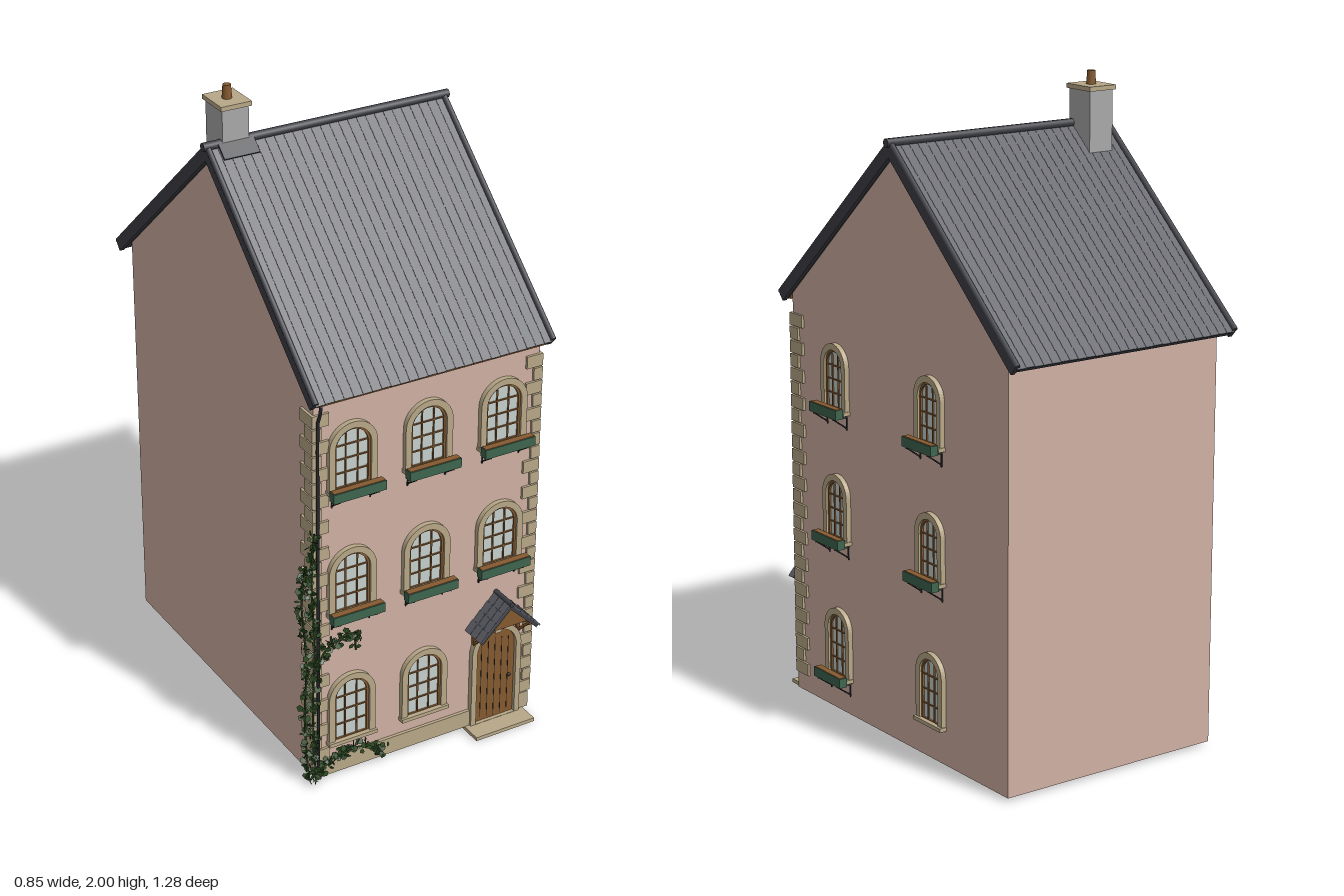
import * as THREE from 'three';
import { mergeGeometries } from 'three/addons/utils/BufferGeometryUtils.js';

const mat = (name, color, side = THREE.FrontSide) => {
  const m = new THREE.MeshStandardMaterial({ color, side });
  m.name = name;
  return m;
};

export function createModel() {
  const plaster = mat('pink plaster', 0xd0b0a4), slate = mat('slate', 0x5c5d64);
  const trim = mat('dark slate trim', 0x3f4046), stone = mat('sandstone', 0xb8a888);
  const wood = mat('brown wood', 0x85592f), glass = mat('window glass', 0xc6d0cc);
  const green = mat('planter green', 0x3f6550), iron = mat('black iron', 0x26282a);
  const ivy = mat('ivy green', 0x2c4a22, THREE.DoubleSide), grey = mat('chimney grey', 0xa9a9a9);

  const house = new THREE.Group();
  house.name = 'townHouse';
  let seed = 7;
  const rnd = () => (seed = (seed * 16807) % 2147483647) / 2147483647;
  const add = (parent, name, geo, m, x = 0, y = 0, z = 0) => {
    const mesh = new THREE.Mesh(geo, m);
    mesh.name = name;
    mesh.position.set(x, y, z);
    parent.add(mesh);
    return mesh;
  };
  const group = (name, parent = house, x = 0, y = 0, z = 0) => {
    const g = new THREE.Group();
    g.name = name;
    g.position.set(x, y, z);
    parent.add(g);
    return g;
  };
  const box = (w, h, d) => new THREE.BoxGeometry(w, h, d);
  const extrude = (shape, depth) => new THREE.ExtrudeGeometry(shape, { depth, bevelEnabled: false, curveSegments: 12 });
  const poly = pts => new THREE.Shape(pts.map(p => new THREE.Vector2(...p)));
  const rod = (a, b, r) => new THREE.TubeGeometry(new THREE.LineCurve3(new THREE.Vector3(...a), new THREE.Vector3(...b)), 1, r, 6);
  const arch = (w, h, y0 = 0) => {
    const s = new THREE.Shape();
    s.moveTo(-w / 2, y0).lineTo(w / 2, y0).lineTo(w / 2, h - w / 2);
    s.absarc(0, h - w / 2, w / 2, 0, Math.PI, false);
    s.closePath();
    return s;
  };
  const archRing = (w, h, t, depth, y0 = 0) => {
    const s = arch(w, h);
    s.holes.push(arch(w - 2 * t, h - t, y0));
    return extrude(s, depth);
  };

  // Hollow walls, open underneath, and the gabled top
  const L = -0.385, R = 0.368, F = 0.545, B = -0.575, CX = (L + R) / 2, RZ = -0.022;
  const ring = poly([[L, -F], [R, -F], [R, -B], [L, -B]]);
  const t = 0.04;
  ring.holes.push(poly([[L + t, -F + t], [L + t, -B - t], [R - t, -B - t], [R - t, -F + t]]));
  add(house, 'walls', extrude(ring, 1.185).rotateX(-Math.PI / 2), plaster, 0, 0.015, 0);
  const gable = poly([[-F, 1.2], [-B, 1.2], [-B, 1.315], [-RZ, 1.81], [-F, 1.31]]);
  add(house, 'gableWalls', extrude(gable, R - L).rotateY(Math.PI / 2), plaster, L, 0, 0);
  for (const z of [0.3, -0.2]) add(house, 'windowAlcove', box(0.15, 0.24, 0.15), plaster, R - t - 0.075, 0.24, z);

  // Roof slopes with overlapping slates
  const ang = Math.atan2(0.54, 0.612), len = 0.816, half = 0.392;
  const roof = group('roof', house, -0.01, 1.84, RZ);
  for (const turn of [0, Math.PI]) {
    const side = group('roofSide', roof);
    side.rotation.y = turn;
    const slope = group('roofSlope', side);
    slope.rotation.x = ang;
    add(slope, 'roofDeck', box(2 * half, 0.022, len - 0.008), trim, 0, -0.017, len / 2);
    const tiles = [], rows = 26, cols = 26, rh = len / rows, cw = 2 * half / cols;
    for (let r = 0; r < rows; r++) for (let c = 0; c < cols; c++) {
      const g = box(cw - 0.0008, 0.005, rh + 0.006 + rnd() * 0.003);
      g.rotateX(0.07).translate(-half + (c + 0.5) * cw, -0.003, (r + 0.5) * rh);
      tiles.push(g);
    }
    add(slope, 'slates', mergeGeometries(tiles), slate);
    for (const s of [-1, 1]) {
      add(slope, 'bargeBoard', box(0.014, 0.034, len), trim, s * half, -0.014, len / 2);
      add(slope, 'vergeCap', new THREE.CylinderGeometry(0.009, 0.009, len, 8).rotateX(Math.PI / 2), trim, s * half, 0.002, len / 2);
    }
  }
  add(roof, 'ridgeCap', new THREE.CylinderGeometry(0.013, 0.013, 0.815, 10).rotateZ(Math.PI / 2), trim, 0, 0.002, 0);
  add(house, 'eavesBoard', box(0.76, 0.02, 0.025), wood, -0.01, 1.293, 0.565);

  // Chimney
  const chimney = group('chimney', house, -0.316, 0, -0.06);
  add(chimney, 'chimneyStack', box(0.085, 0.2, 0.1), grey, 0, 1.85, 0);
  add(chimney, 'chimneyCap', box(0.098, 0.014, 0.115), stone, 0, 1.952, 0);
  add(chimney, 'chimneyPot', new THREE.CylinderGeometry(0.012, 0.015, 0.042, 12), wood, 0, 1.979, 0);
  add(chimney, 'chimneyFlashing', box(0.114, 0.006, 0.05), trim, 0, 1.829, 0.068).rotation.x = ang;

  // Arched windows with a sill or a planter on iron brackets
  const makeWindow = (name, w, h, planter) => {
    const g = group(name);
    const iw = w - 0.04, ih = h - 0.02;
    add(g, 'windowSurround', archRing(w, h, 0.02, 0.016, 0.004), stone);
    add(g, 'windowPane', extrude(arch(iw, ih), 0.003), glass);
    add(g, 'windowFrame', archRing(iw, ih, 0.007, 0.009, 0.008), wood);
    for (const s of [-1, 1]) add(g, 'verticalBar', box(0.004, ih - 0.02, 0.004), wood, s * iw / 6, ih / 2 - 0.004, 0.005);
    for (const k of [0.27, 0.5, 0.73]) add(g, 'crossBar', box(iw - 0.01, 0.004, 0.004), wood, 0, ih * k, 0.005);
    add(g, 'windowSill', box(w + 0.006, 0.012, 0.024), stone, 0, 0, 0.012);
    if (planter) {
      const bw = w + 0.014;
      add(g, 'planterBox', box(bw, 0.03, 0.027), green, 0, 0.003, 0.041);
      add(g, 'planterSoil', box(bw - 0.006, 0.004, 0.021), wood, 0, 0.0175, 0.041);
      for (const x of [-0.4 * w, 0.4 * w]) add(g, 'planterBracket', mergeGeometries([
        rod([x, -0.014, 0], [x, -0.014, 0.055], 0.0025),
        rod([x, -0.05, 0], [x, -0.014, 0.05], 0.0025),
        rod([x, -0.055, 0.002], [x, 0, 0.002], 0.0025)]), iron);
    }
    return g;
  };
  [0.125, 0.575, 0.985].forEach((y, row) => {
    for (const x of row ? [-0.263, -0.012, 0.242] : [-0.263, -0.012])
      makeWindow('frontWindow', 0.158, row ? 0.212 : 0.228, row > 0).position.set(x, y, F);
    for (const z of [0.3, -0.2]) {
      const g = makeWindow('sideWindow', 0.134, row ? 0.206 : 0.22, row > 0 || z > 0);
      g.position.set(R, row ? y : 0.13, z);
      g.rotation.y = Math.PI / 2;
    }
  });

  // Plinth, corner stones
  add(house, 'plinth', box(0.545, 0.055, 0.012), stone, -0.112, 0.043, F + 0.004);
  add(house, 'plinthEnd', box(0.04, 0.055, 0.012), stone, 0.348, 0.043, F + 0.004);
  for (const [x, s] of [[L, 1], [R, -1]]) for (let i = 0; i < 27; i++) {
    const w = i % 2 ? 0.03 : 0.055, d = i % 2 ? 0.045 : 0.07;
    add(house, 'cornerStone', box(w, 0.039, d), stone, x + s * (w / 2 - 0.008), 0.092 + i * 0.0435, F + 0.008 - d / 2);
  }

  // Plank door with stone arch and step
  const door = group('door', house, 0.243, 0.017, F);
  add(door, 'doorSurround', archRing(0.176, 0.34, 0.018, 0.018, 0.001), stone);
  add(door, 'doorLeaf', extrude(arch(0.14, 0.322), 0.006), wood);
  for (let i = -2; i <= 2; i++) add(door, 'plankGroove', box(0.002, 0.29 - Math.abs(i) * 0.012, 0.002), iron, i * 0.024, 0.147, 0.006);
  add(door, 'doorKnob', new THREE.SphereGeometry(0.006, 10, 8), iron, 0.05, 0.14, 0.011);
  add(door, 'keystone', box(0.024, 0.034, 0.024), stone, 0, 0.333, 0.012);
  add(door, 'doorStep', box(0.21, 0.012, 0.08), stone, 0, -0.006, 0.038);

  // Gabled porch roof
  const porch = group('porch', house, 0.243, 0.466, F), pa = 0.78;
  for (const s of [-1, 1]) {
    const side = group('porchSlope', porch);
    side.rotation.z = -s * pa;
    add(side, 'porchDeck', box(0.145, 0.012, 0.084), trim, s * 0.0725, -0.006, 0.042);
    for (let r = 0; r < 4; r++) for (let c = 0; c < 3; c++)
      add(side, 'porchSlate', box(0.04, 0.005, 0.028), slate, s * (0.02 + r * 0.036), 0.002, 0.015 + c * 0.029).rotation.z = -s * 0.08;
    add(porch, 'porchPost', box(0.01, 0.07, 0.012), wood, s * 0.078, -0.125, 0.008);
    add(porch, 'porchBeam', box(0.01, 0.01, 0.075), wood, s * 0.078, -0.096, 0.038);
    add(porch, 'porchBrace', rod([s * 0.078, -0.155, 0.01], [s * 0.078, -0.1, 0.065], 0.005), wood);
  }
  add(porch, 'porchRidge', new THREE.CylinderGeometry(0.008, 0.008, 0.09, 8).rotateX(Math.PI / 2), trim, 0, 0.002, 0.045);
  add(porch, 'porchGable', extrude(poly([[-0.07, -0.083], [0.07, -0.083], [0, -0.014]]), 0.008), wood, 0, 0, 0.066);

  // Downpipe at the front corner
  const pipe = new THREE.CatmullRomCurve3([[-0.378, 1.285, 0.578], [-0.378, 1.26, 0.574], [-0.378, 1.225, 0.56],
    [-0.378, 1.18, 0.558], [-0.378, 0.6, 0.558], [-0.378, 0.03, 0.558]].map(p => new THREE.Vector3(...p)));
  add(house, 'downpipe', new THREE.TubeGeometry(pipe, 40, 0.005, 8), iron);

  // Ivy: stems with scattered leaves
  const leaves = [], plant = group('ivy');
  const vine = (pts, count, spread) => {
    const path = new THREE.CatmullRomCurve3(pts.map(p => new THREE.Vector3(...p)));
    add(plant, 'ivyStem', new THREE.TubeGeometry(path, 30, 0.003, 5), ivy);
    for (let i = 0; i < count; i++) {
      const p = path.getPoint(rnd()), g = new THREE.CircleGeometry(0.007 + rnd() * 0.005, 5);
      g.rotateX(rnd() * 2 - 1).rotateY(rnd() * 3 - 2).rotateZ(rnd() * 6);
      g.translate(p.x + (rnd() - 0.5) * spread, Math.max(0.012, p.y + (rnd() - 0.5) * spread), p.z + (rnd() - 0.5) * 0.014);
      leaves.push(g);
    }
  };
  vine([[-0.39, 0.02, 0.563], [-0.398, 0.25, 0.56], [-0.392, 0.5, 0.562], [-0.4, 0.7, 0.558], [-0.392, 0.87, 0.56]], 190, 0.035);
  vine([[-0.402, 0.02, 0.54], [-0.4, 0.2, 0.515], [-0.402, 0.42, 0.53], [-0.4, 0.62, 0.5], [-0.402, 0.75, 0.53]], 130, 0.03);
  vine([[-0.392, 0.4, 0.56], [-0.35, 0.47, 0.562], [-0.3, 0.485, 0.556], [-0.26, 0.49, 0.556], [-0.25, 0.43, 0.556]], 60, 0.035);
  vine([[-0.4, 0.03, 0.565], [-0.36, 0.06, 0.565], [-0.3, 0.085, 0.563], [-0.22, 0.08, 0.563], [-0.16, 0.04, 0.563]], 110, 0.045);
  add(plant, 'ivyLeaves', mergeGeometries(leaves), ivy);

  return house;
}
